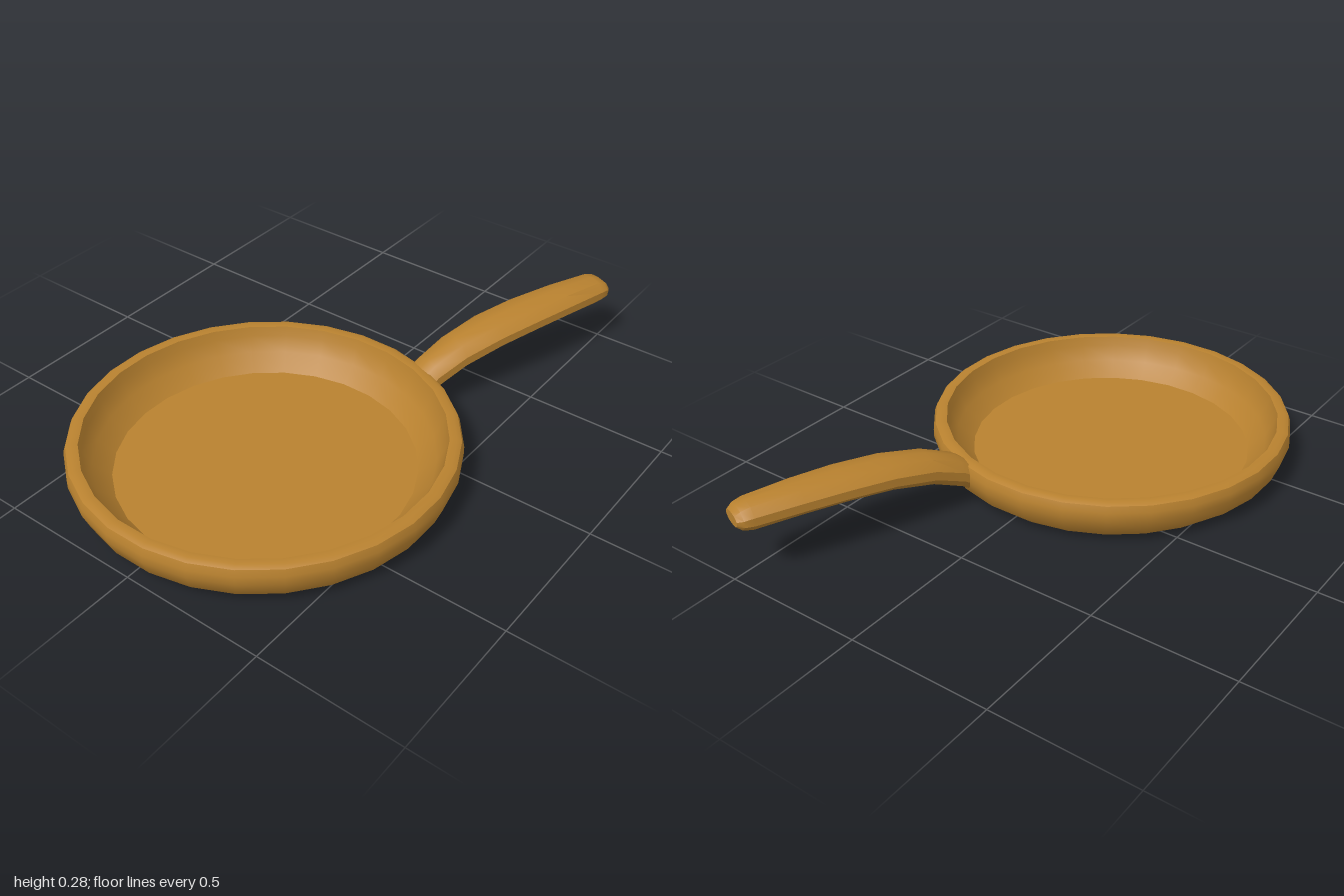
import * as THREE from 'three';
import { toCreasedNormals } from 'three/addons/utils/BufferGeometryUtils.js';

const PAN_X = -0.36;
const SIDES = 28;

// Loft a closed tube along x through chamfered sections: [x, y, halfWidth, halfHeight]
function loft(rings) {
  // section outline, (z, y) in units of the half sizes
  const outline = [[1, -0.3], [1, 0.3], [0.6, 0.88], [0, 1], [-0.6, 0.88],
    [-1, 0.3], [-1, -0.3], [-0.6, -0.88], [0, -1], [0.6, -0.88]];
  const n = outline.length;
  const pos = [], idx = [];
  for (const [x, y, w, h] of rings) {
    for (const [a, b] of outline) pos.push(x, y + b * h, a * w);
  }
  for (let r = 0; r < rings.length - 1; r++) {
    for (let i = 0; i < n; i++) {
      const a = r * n + i, b = r * n + (i + 1) % n;
      idx.push(a, a + n, b, b, a + n, b + n);
    }
  }
  // end caps
  const last = (rings.length - 1) * n;
  for (let i = 1; i < n - 1; i++) {
    idx.push(0, i, i + 1);
    idx.push(last, last + i + 1, last + i);
  }
  const g = new THREE.BufferGeometry();
  g.setAttribute('position', new THREE.Float32BufferAttribute(pos, 3));
  g.setIndex(idx);
  return g;
}

export function createModel() {
  const group = new THREE.Group();
  group.name = 'fryingPan';
  const bronze = new THREE.MeshStandardMaterial({ color: 0xb8812f });
  bronze.name = 'bronze';

  // Pan body: underside, rounded outer wall, flat rim, sloped inner wall, floor
  const profile = [
    [0, 0], [0.57, 0], [0.618, 0.04], [0.642, 0.1], [0.642, 0.13], [0.634, 0.152],
    [0.618, 0.16], [0.594, 0.157], [0.585, 0.125], [0.558, 0.07], [0.5, 0.02], [0, 0.02],
  ].map(([r, y]) => new THREE.Vector2(r, y));
  const body = new THREE.Mesh(
    toCreasedNormals(new THREE.LatheGeometry(profile, SIDES, Math.PI / SIDES), 0.6), bronze);
  body.name = 'panBody';
  body.position.x = PAN_X;
  group.add(body);

  // Handle: rises from the wall, levels out and ends in a rounded tip
  const handleGeometry = loft([
    [0.6, 0.093, 0.065, 0.054],
    [0.65, 0.128, 0.066, 0.055],
    [0.76, 0.176, 0.074, 0.053],
    [0.91, 0.209, 0.083, 0.05],
    [1.07, 0.223, 0.084, 0.049],
    [1.22, 0.227, 0.077, 0.048],
    [1.38, 0.225, 0.063, 0.047],
    [1.412, 0.225, 0.058, 0.038],
    [1.43, 0.225, 0.044, 0.022],
  ]);
  const handle = new THREE.Mesh(toCreasedNormals(handleGeometry, 0.7), bronze);
  handle.name = 'handle';
  handle.position.x = PAN_X;
  handle.rotation.y = -THREE.MathUtils.degToRad(20);
  group.add(handle);

  return group;
}
